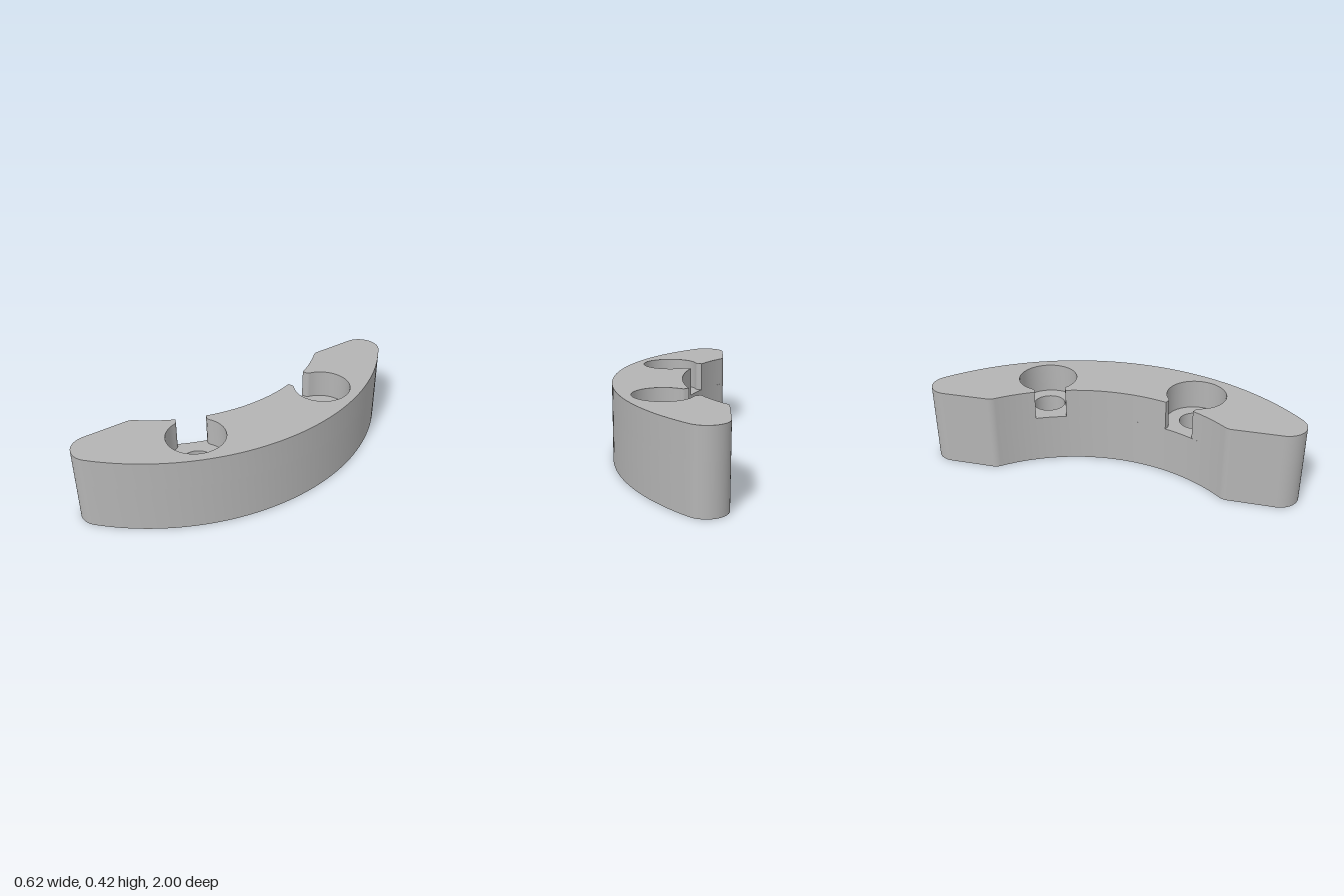
import * as THREE from 'three';
import { toCreasedNormals } from 'three/addons/utils/BufferGeometryUtils.js';

const HEIGHT = 0.42, FLOOR = 0.26;            // block height, pocket floor height
const CX = -1, R_IN = 0.93, R_OUT = 1.308;    // concentric inner and outer arcs
const X_FLAT = -0.308;                        // flat end faces
const TIP_R = 0.11, HEEL_R = 0.06;            // corner rounding
const BOLT = { x: 0.015, z: 0.415, pocket: 0.158, hole: 0.086 };
const SLOT = 0.082, NOSE_R = 0.025;           // half width of slot, rounding of its lips

const TIP = { x: X_FLAT + TIP_R, y: 1 - TIP_R };
const HEEL = { x: X_FLAT + HEEL_R };
HEEL.y = Math.sqrt((R_IN + HEEL_R) ** 2 - (HEEL.x - CX) ** 2);
const tipAngle = Math.atan2(TIP.y, TIP.x - CX);
const heelAngle = Math.atan2(HEEL.y, HEEL.x - CX);
const boltAngle = Math.atan2(BOLT.z, BOLT.x - CX);

// Round pocket opening through a narrow slot onto the inner arc
function addPocket(path, side) {
  const t = side * boltAngle, y = side * BOLT.z;
  const b = SLOT + NOSE_R, d = BOLT.pocket + NOSE_R;
  const a = Math.sqrt(d * d - b * b), k = Math.atan2(b, a);
  const nose = (s) => [
    BOLT.x - a * Math.cos(t) - s * b * Math.sin(t),
    y - a * Math.sin(t) + s * b * Math.cos(t), NOSE_R,
  ];
  path.absarc(...nose(1), t - Math.PI / 2, t - k, false);
  path.absarc(BOLT.x, y, BOLT.pocket, t + Math.PI - k, t - Math.PI + k, true);
  path.absarc(...nose(-1), t + k, t + Math.PI / 2, false);
}

// Crescent outline, with or without the two pockets
function outline(withPockets) {
  const p = new THREE.Path();
  p.absarc(CX, 0, R_OUT, -tipAngle, tipAngle, false);
  p.absarc(TIP.x, TIP.y, TIP_R, tipAngle, Math.PI, false);
  p.absarc(HEEL.x, HEEL.y, HEEL_R, Math.PI, Math.PI + heelAngle, false);
  if (withPockets) {
    const w = Math.asin(SLOT / R_IN);
    p.absarc(CX, 0, R_IN, heelAngle, boltAngle + w, true);
    addPocket(p, 1);
    p.absarc(CX, 0, R_IN, boltAngle - w, -boltAngle + w, true);
    addPocket(p, -1);
    p.absarc(CX, 0, R_IN, -boltAngle - w, -heelAngle, true);
  } else {
    p.absarc(CX, 0, R_IN, heelAngle, -heelAngle, true);
  }
  p.absarc(HEEL.x, -HEEL.y, HEEL_R, Math.PI - heelAngle, Math.PI, false);
  p.absarc(TIP.x, -TIP.y, TIP_R, Math.PI, 2 * Math.PI - tipAngle, false);
  // Drop repeated points where the arcs meet
  const pts = p.getPoints(24);
  const clean = pts.filter((q, i) => q.distanceTo(pts[(i + 1) % pts.length]) > 1e-4);
  return new THREE.Shape(clean);
}

function slab(name, shape, y0, y1, material) {
  const geo = new THREE.ExtrudeGeometry(shape, { depth: y1 - y0, bevelEnabled: false, curveSegments: 24 });
  geo.rotateX(-Math.PI / 2).translate(0, y0, 0);
  // Crease at a larger scale so close vertices stay distinct
  const smooth = toCreasedNormals(geo.scale(100, 100, 100), 0.5).scale(0.01, 0.01, 0.01);
  const mesh = new THREE.Mesh(smooth, material);
  mesh.name = name;
  return mesh;
}

export function createModel() {
  const group = new THREE.Group();
  group.name = 'curvedClampBlock';
  const grey = new THREE.MeshStandardMaterial({ color: 0xb4b4b4 });
  grey.name = 'plain grey';

  // Lower body with two bolt holes
  const lower = outline(false);
  for (const side of [1, -1]) {
    const hole = new THREE.Path();
    hole.absarc(BOLT.x, side * BOLT.z, BOLT.hole, 0, Math.PI * 2, true);
    lower.holes.push(hole);
  }
  group.add(slab('lowerBody', lower, 0, FLOOR, grey));

  // Upper body with bolt head pockets
  group.add(slab('upperBody', outline(true), FLOOR, HEIGHT, grey));
  return group;
}
